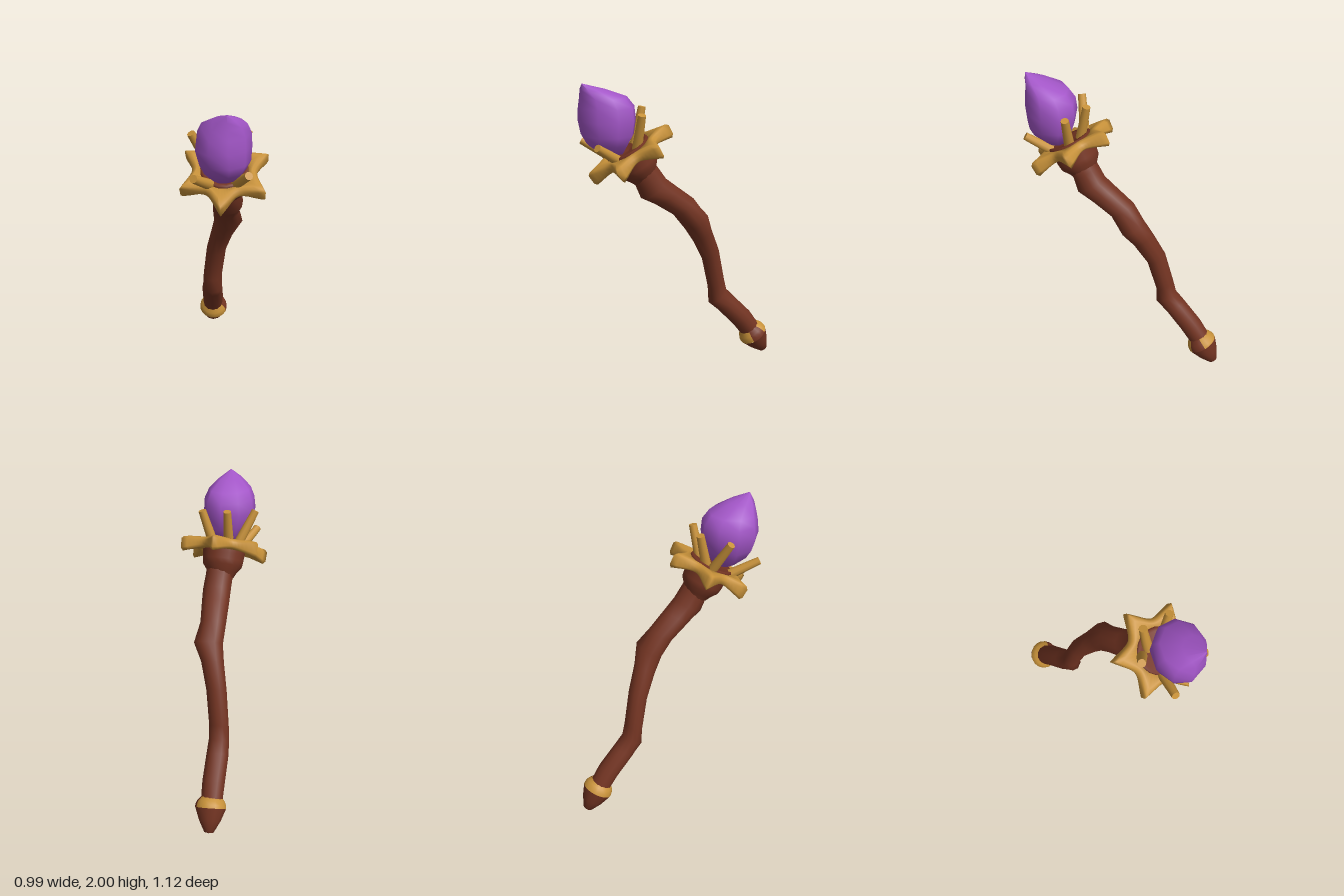
import * as THREE from 'three';

const wood = new THREE.MeshStandardMaterial({ color: 0x733422 });
wood.name = 'brownWood';
const gold = new THREE.MeshStandardMaterial({ color: 0xc8923a });
gold.name = 'gold';
const purple = new THREE.MeshStandardMaterial({ color: 0xa356c8 });
purple.name = 'purpleCrystal';

const V = (x, y, z) => new THREE.Vector3(x, y, z);

// Right-angled frame: y runs along the given axis, x points to one side
function makeFrame(origin, axisHint, sideHint) {
  const axis = axisHint.clone().normalize();
  const side = sideHint.clone().addScaledVector(axis, -sideHint.dot(axis)).normalize();
  return { origin, axis, side, depth: side.clone().cross(axis) };
}
const staffFrame = makeFrame(V(-0.455, 0.01, -0.53), V(0.355, 0.83, 0.43), V(-0.93, 0.3, 0.17));
const headFrame = makeFrame(V(0.212, 1.558, 0.237), V(0.26, 0.87, 0.42), V(-0.29, 0.075, 0.02));

function frameGroup(f, name) {
  const g = new THREE.Group();
  g.name = name;
  g.quaternion.setFromRotationMatrix(new THREE.Matrix4().makeBasis(f.side, f.axis, f.depth));
  g.position.copy(f.origin);
  return g;
}

function add(parent, geometry, material, name) {
  const m = new THREE.Mesh(geometry, material);
  m.name = name;
  parent.add(m);
  return m;
}

// Skin over a grid: i goes round the axis, j runs along or round the section
function loft(nI, nJ, closedJ, point) {
  const pos = [], idx = [];
  for (let i = 0; i < nI; i++) {
    for (let j = 0; j < nJ; j++) pos.push(...point((i / nI) * Math.PI * 2, j).toArray());
  }
  for (let i = 0; i < nI; i++) {
    for (let j = 0; j < (closedJ ? nJ : nJ - 1); j++) {
      const i2 = (i + 1) % nI, j2 = (j + 1) % nJ;
      const a = i * nJ + j, b = i * nJ + j2, c = i2 * nJ + j2, d = i2 * nJ + j;
      idx.push(a, b, c, a, c, d);
    }
  }
  const g = new THREE.BufferGeometry();
  g.setAttribute('position', new THREE.Float32BufferAttribute(pos, 3));
  g.setIndex(idx);
  g.computeVertexNormals();
  return g;
}

function lathe(profile, segments, start = 0, sweep = Math.PI * 2) {
  return new THREE.LatheGeometry(profile.map(p => new THREE.Vector2(...p)), segments, start, sweep);
}

// Crooked shaft: x, y, z, radius, then knot size and its x, z direction
function shaftGeometry() {
  const stations = [
    [-0.405, 0.14, -0.465, 0.068, 0, 0, 0],
    [-0.345, 0.28, -0.385, 0.073, 0, 0, 0],
    [-0.275, 0.41, -0.285, 0.072, 0, 0, 0],
    [-0.24, 0.48, -0.24, 0.066, 0.03, 1, 1],
    [-0.225, 0.57, -0.225, 0.064, 0, 0, 0],
    [-0.17, 0.8, -0.195, 0.066, 0, 0, 0],
    [-0.09, 0.96, -0.155, 0.074, 0, 0, 0],
    [-0.035, 1.06, -0.12, 0.08, 0.033, 0.6, -1],
    [0.01, 1.17, -0.055, 0.084, 0, 0, 0],
    [0.09, 1.26, 0.04, 0.09, 0, 0, 0],
    [0.14, 1.32, 0.1, 0.092, 0.025, 1, 1],
    [0.165, 1.4, 0.145, 0.09, 0, 0, 0],
    [0.19, 1.46, 0.18, 0.09, 0, 0, 0],
  ];
  const { side, depth } = staffFrame;
  return loft(12, stations.length, false, (t, j) => {
    const [x, y, z, r, knot, kx, kz] = stations[j];
    const dir = side.clone().multiplyScalar(Math.cos(t)).addScaledVector(depth, Math.sin(t));
    const bump = knot ? dir.dot(V(kx, 0, kz).normalize()) : 0;
    return V(x, y, z).addScaledVector(dir, r + knot * Math.max(0, bump) ** 2);
  });
}

// Six-pointed crown whose points narrow and droop
function crownGeometry() {
  return loft(72, 8, true, (t, j) => {
    const wave = Math.abs(((t / (Math.PI / 3)) % 1) * 2 - 1);
    const p = wave ** 2;
    const out = 0.195 + 0.1 * p;
    const mid = 0.165 + 0.07 * p;
    const section = [
      [mid, -0.032 - 0.01 * p],
      [out - 0.02, -0.028 - 0.042 * p],
      [out - 0.004, -0.018 - 0.034 * p],
      [out, 0.008 + 0.002 * p],
      [out - 0.015, 0.026],
      [mid, 0.035],
      [0.135, 0.025],
      [0.13, -0.03],
    ];
    const [r, y] = section[j];
    return V(r * Math.cos(t), y, r * Math.sin(t));
  });
}

// Upright crystal with its tip pulled to one corner: x, y, z, radius
function crystalGeometry() {
  const rings = [
    [0.275, 1.55, 0.32, 0],
    [0.28, 1.56, 0.33, 0.07],
    [0.295, 1.62, 0.35, 0.125],
    [0.295, 1.68, 0.35, 0.157],
    [0.287, 1.77, 0.355, 0.172],
    [0.29, 1.85, 0.355, 0.165],
    [0.302, 1.91, 0.37, 0.138],
    [0.347, 1.96, 0.42, 0.075],
    [0.395, 2.0, 0.47, 0],
  ];
  return loft(9, rings.length, false, (t, j) => {
    const [x, y, z, r] = rings[j];
    return V(x + 0.93 * r * Math.cos(t), y, z + 1.07 * r * Math.sin(t));
  });
}

function addPeg(parent, base, end) {
  const span = end.clone().sub(base);
  const peg = add(parent, new THREE.CylinderGeometry(0.025, 0.033, span.length(), 10), gold, 'peg');
  peg.position.copy(base).addScaledVector(span, 0.5);
  peg.quaternion.setFromUnitVectors(V(0, 1, 0), span.normalize());
}

export function createModel() {
  const model = new THREE.Group();
  model.name = 'crystalStaff';

  add(model, shaftGeometry(), wood, 'shaft');

  // Pointed foot; its gold band is open on one side, where the wood shows
  const foot = frameGroup(staffFrame, 'foot');
  const band = [[0.1, 0.16], [0.098, 0.18], [0.088, 0.205], [0.06, 0.235]];
  add(foot, lathe([[0, 0], [0.03, 0.006], [0.07, 0.08], [0.1, 0.16]], 12), wood, 'footPoint');
  add(foot, lathe(band, 15, -0.39, Math.PI * 2 - 1.04), gold, 'footBand');
  add(foot, lathe(band, 3, -1.43, 1.04), wood, 'footBandGap');
  model.add(foot);

  // Head: wooden cup and crown
  const head = frameGroup(headFrame, 'head');
  add(head, lathe([[0.08, -0.2], [0.098, -0.165], [0.128, -0.125], [0.134, -0.09],
    [0.137, -0.05], [0.148, 0.02], [0.14, 0.04], [0.12, 0.035], [0, 0.01]], 18), wood, 'cup');
  add(head, crownGeometry(), gold, 'crown');
  model.add(head);

  add(model, crystalGeometry(), purple, 'crystal');

  // Pegs around the crystal: base, then end
  const pegs = new THREE.Group();
  pegs.name = 'pegs';
  [
    [V(0.11, 1.59, 0.25), V(0.065, 1.81, 0.37)],
    [V(0.155, 1.6, 0.22), V(0.13, 1.83, 0.18)],
    [V(0.255, 1.59, 0.175), V(0.305, 1.81, 0.125)],
    [V(0.33, 1.53, 0.28), V(0.47, 1.63, 0.355)],
    [V(0.2, 1.52, 0.37), V(0.22, 1.615, 0.55)],
  ].forEach(([base, end]) => addPeg(pegs, base, end));
  model.add(pegs);

  return model;
}
